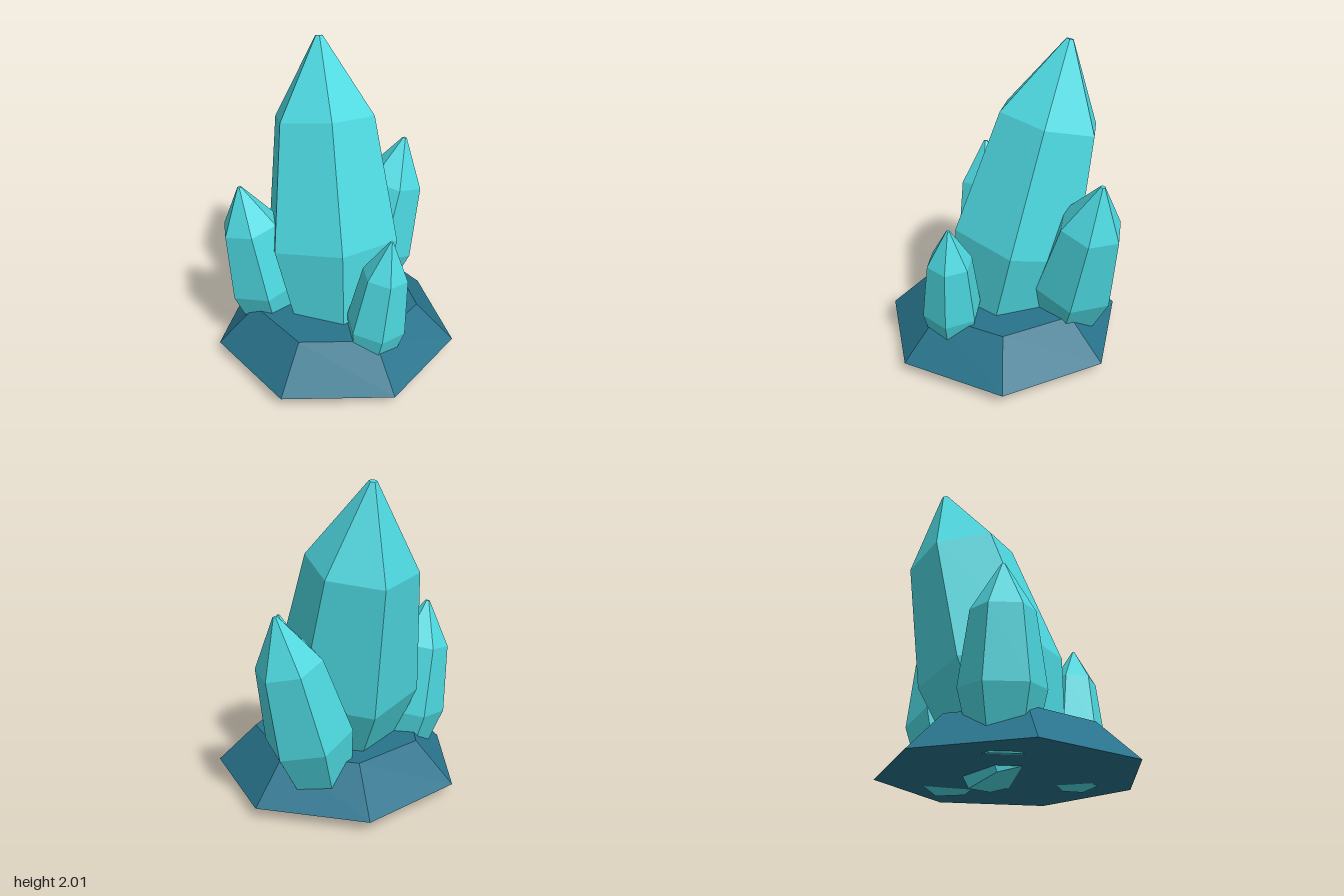
import * as THREE from 'three';

const crystalMat = new THREE.MeshStandardMaterial({ color: 0x4dd8e0 });
crystalMat.name = 'turquoise crystal';
const rockMat = new THREE.MeshStandardMaterial({ color: 0x28738c });
rockMat.name = 'deep teal rock';

// Faceted solid of revolution with one corner on +x; profile runs from bottom to top
function facetedSolid(profile, sides, material, name) {
  const points = profile.map(([r, y]) => new THREE.Vector2(r, y));
  const geometry = new THREE.LatheGeometry(points, sides, Math.PI / 2).toNonIndexed();
  geometry.computeVertexNormals();
  const mesh = new THREE.Mesh(geometry, material);
  mesh.name = name;
  return mesh;
}

// Six-sided crystal leaning from its base centre to its tip; girth scales the cross-section
function crystal(name, base, tip, girth) {
  const start = new THREE.Vector3(...base);
  const axis = new THREE.Vector3(...tip).sub(start);
  const h = axis.length();
  const mesh = facetedSolid([
    [0, 0],
    [0.3 * girth, 0],
    [0.46 * girth, 0.335 * h],
    [0.345 * girth, 0.745 * h],
    [0.025 * girth, h],
    [0, h],
  ], 6, crystalMat, name);
  mesh.position.copy(start);
  mesh.quaternion.setFromUnitVectors(new THREE.Vector3(0, 1, 0), axis.normalize());
  return mesh;
}

export function createModel() {
  const model = new THREE.Group();
  model.name = 'crystalCluster';

  // Seven-sided rock pedestal
  const rock = facetedSolid([[0, 0.07], [0.81, 0.07], [0.555, 0.325], [0, 0.325]], 7, rockMat, 'rockBase');
  rock.position.x = -0.04;
  model.add(rock);

  // Crystals, poking slightly through the underside
  model.add(
    crystal('mainCrystal', [-0.065, 0.075, 0.04], [0.16, 2.0, -0.4], 1),
    crystal('leftCrystal', [0.335, 0.085, -0.18], [0.645, 1.27, -0.085], 0.6),
    crystal('rightCrystal', [-0.35, 0.085, -0.274], [-0.51, 1.16, -0.38], 0.55),
    crystal('frontCrystal', [-0.12, 0.067, 0.43], [-0.04, 1.0, 0.525], 0.42),
  );
  return model;
}
